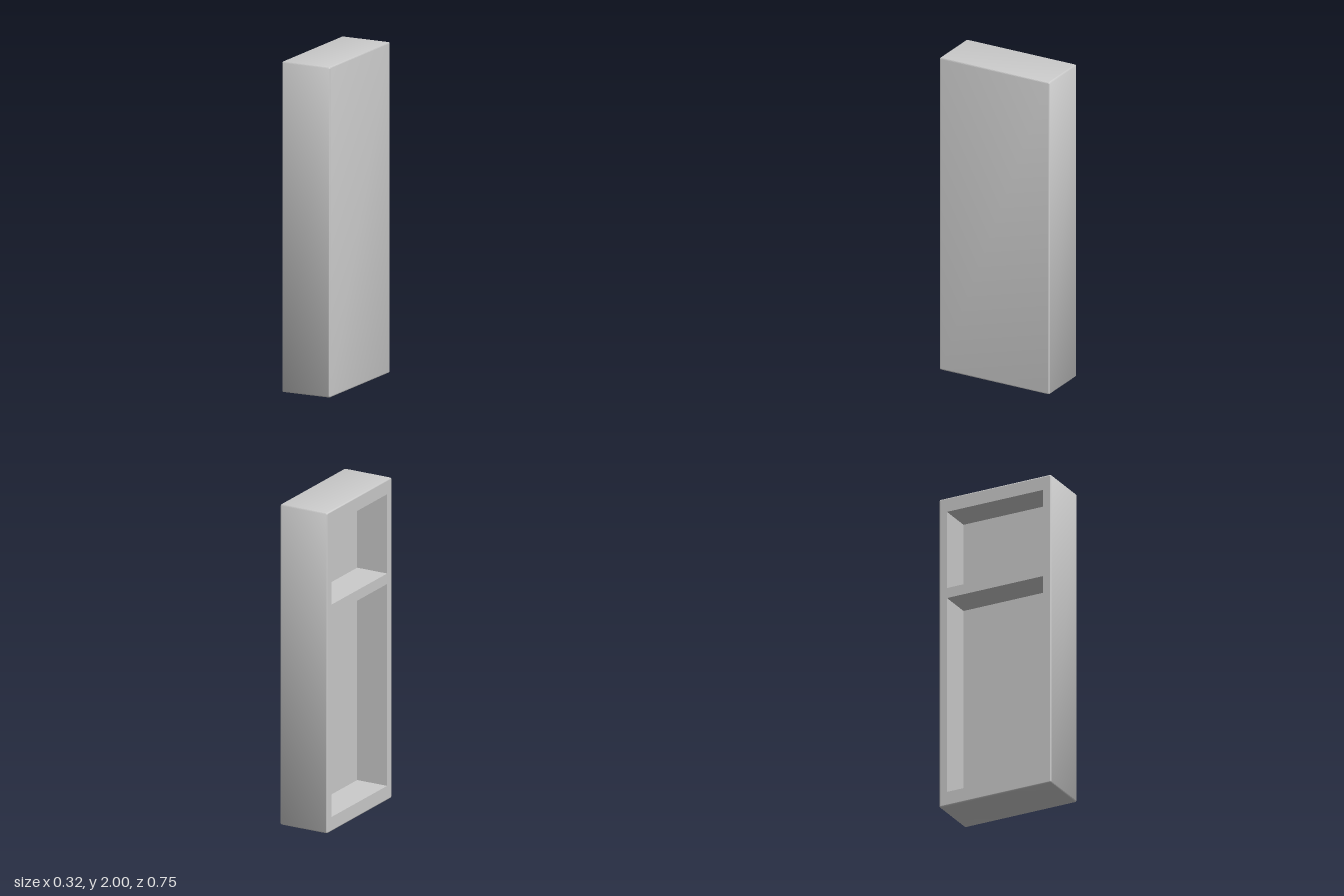
import * as THREE from 'three';
import { toCreasedNormals } from 'three/addons/utils/BufferGeometryUtils.js';

const H = 2, W = 0.75, D = 0.32;   // height, width (z), depth (x)
const BEVEL = 0.008, CORNER = 0.01;
const RECESS = 0.205;              // depth of the compartments
const HALF_OPENING = 0.322;        // half width of the openings along z
const OPENINGS = [[0.09, 1.35], [1.415, 1.91]]; // bottom and top of each

// Outline of the cabinet side, drawn in the xy plane
function outline(inset) {
  const w = W / 2 - inset, r = CORNER - inset;
  const bottom = inset, top = H - inset;
  const s = new THREE.Shape();
  s.absarc(w - r, bottom + r, r, -Math.PI / 2, 0);
  s.absarc(w - r, top - r, r, 0, Math.PI / 2);
  s.absarc(-w + r, top - r, r, Math.PI / 2, Math.PI);
  s.absarc(-w + r, bottom + r, r, Math.PI, Math.PI * 1.5);
  s.closePath();
  return s;
}

// Removes the triangles lying in the open plane x = -D/2, optionally turning the rest inside out
function openSide(geometry, flip) {
  const p = geometry.index ? geometry.toNonIndexed().attributes.position : geometry.attributes.position;
  const kept = [];
  for (let i = 0; i < p.count; i += 3) {
    const ids = flip ? [i, i + 2, i + 1] : [i, i + 1, i + 2];
    if (ids.every(j => Math.abs(p.getX(j) + D / 2) < 1e-4)) continue;
    for (const j of ids) kept.push(p.getX(j), p.getY(j), p.getZ(j));
  }
  const out = new THREE.BufferGeometry();
  out.setAttribute('position', new THREE.Float32BufferAttribute(kept, 3));
  out.computeVertexNormals();
  return out;
}

export function createModel() {
  const group = new THREE.Group();
  const material = new THREE.MeshStandardMaterial({ color: 0xcccccc });
  const add = (name, geometry) => {
    const mesh = new THREE.Mesh(geometry, material);
    mesh.name = name;
    group.add(mesh);
  };

  // Outer shell with softened edges, open towards -x
  const depth = D - 2 * BEVEL;
  const shell = new THREE.ExtrudeGeometry(outline(0), {
    depth, curveSegments: 3, bevelThickness: BEVEL, bevelSize: BEVEL, bevelOffset: -BEVEL, bevelSegments: 3,
  });
  shell.translate(0, 0, -depth / 2).rotateY(-Math.PI / 2);
  add('shell', toCreasedNormals(openSide(shell, false), 0.7));

  // Face frame with the shelf edge between the two openings
  const face = outline(BEVEL);
  for (const [y0, y1] of OPENINGS) {
    const w = HALF_OPENING;
    face.holes.push(new THREE.Path([
      new THREE.Vector2(-w, y0), new THREE.Vector2(-w, y1),
      new THREE.Vector2(w, y1), new THREE.Vector2(w, y0),
    ]));
  }
  const frame = new THREE.ShapeGeometry(face, 3);
  frame.rotateY(-Math.PI / 2).translate(-D / 2, 0, 0);
  add('faceFrame', frame);

  // Inner walls of the compartments, below and above the shelf
  OPENINGS.forEach(([y0, y1], i) => {
    const box = new THREE.BoxGeometry(RECESS, y1 - y0, HALF_OPENING * 2);
    box.translate((RECESS - D) / 2, (y0 + y1) / 2, 0);
    add(i ? 'upperCompartment' : 'lowerCompartment', openSide(box, true));
  });

  return group;
}
